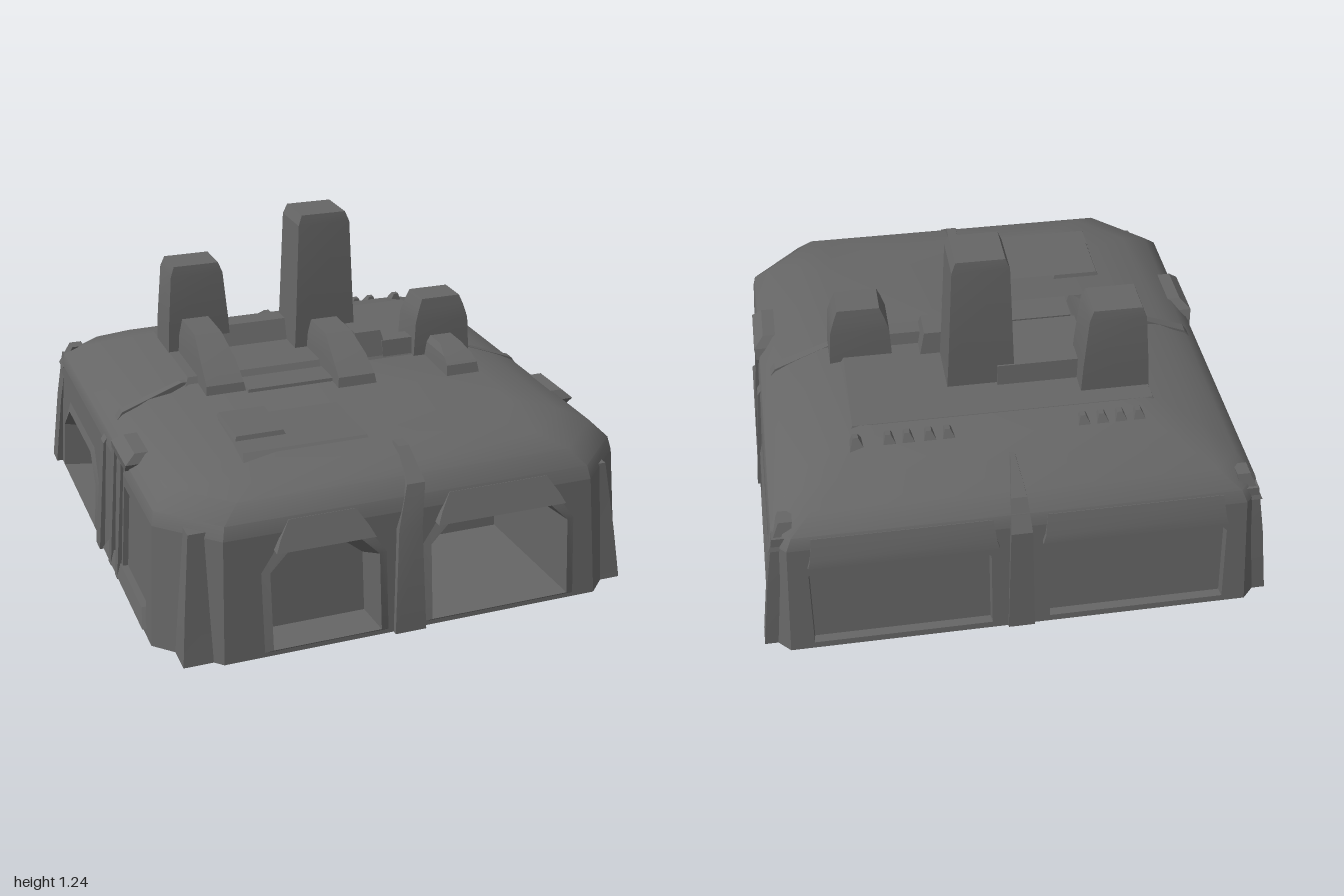
import * as THREE from 'three';
import { toCreasedNormals } from 'three/addons/utils/BufferGeometryUtils.js';

const concrete = new THREE.MeshStandardMaterial({ color: 0x666666 });
concrete.name = 'dark concrete';

export function createModel() {
  const model = new THREE.Group();
  model.name = 'bunker';

  function add(name, positions, crease = 0.6) {
    let g = new THREE.BufferGeometry();
    g.setAttribute('position', new THREE.Float32BufferAttribute(positions, 3));
    g = toCreasedNormals(g, crease);
    const mesh = new THREE.Mesh(g, concrete);
    mesh.name = name;
    model.add(mesh);
  }

  // Skin a stack of counter-clockwise rings, with optional caps
  function loft(rings, capEnd = true, capStart = false) {
    const out = [];
    const tri = (a, b, c) => out.push(...a, ...b, ...c);
    const n = rings[0].length;
    for (let k = 0; k + 1 < rings.length; k++) {
      for (let i = 0; i < n; i++) {
        const j = (i + 1) % n;
        const [a, b, c, d] = [rings[k][i], rings[k][j], rings[k + 1][j], rings[k + 1][i]];
        tri(a, b, c);
        tri(a, c, d);
      }
    }
    const last = rings[rings.length - 1];
    for (let i = 1; i + 1 < n; i++) {
      if (capEnd) tri(last[0], last[i], last[i + 1]);
      if (capStart) tri(rings[0][0], rings[0][i + 1], rings[0][i]);
    }
    return out;
  }

  const rect = (y, [x0, x1, z0, z1]) => [[x1, y, z1], [x1, y, z0], [x0, y, z0], [x0, y, z1]];
  // Tapered block through [y, [x0, x1, z0, z1]] levels
  const block = (name, ...levels) => add(name, loft(levels.map(l => rect(...l)), true, true), 0.3);

  // Eight-cornered plan with wide front chamfers and small back chamfers
  const plan = (yf, yb, x, zf, zb, cf, cb) => [
    [x, yf, zf - cf], [x, yb, zb + cb], [x - cb, yb, zb], [-x + cb, yb, zb],
    [-x, yb, zb + cb], [-x, yf, zf - cf], [-x + cf, yf, zf], [x - cf, yf, zf]];

  const wallTop = 0.46;
  const base = plan(0, 0, 0.94, 0.98, -0.99, 0.21, 0.07);
  const eaves = plan(wallTop, wallTop, 0.91, 0.935, -0.94, 0.2, 0.06);

  // Rounded roof
  add('roof', loft([
    eaves,
    plan(0.51, 0.51, 0.9, 0.92, -0.925, 0.2, 0.07),
    plan(0.57, 0.57, 0.84, 0.875, -0.86, 0.2, 0.09),
    plan(0.615, 0.625, 0.73, 0.8, -0.75, 0.18, 0.1),
    plan(0.64, 0.685, 0.57, 0.68, -0.6, 0.15, 0.08),
  ]), 0.7);

  // Floor slab underside and chamfered corner walls
  add('floor', loft([base], false, true));
  for (const i of [1, 3, 5, 7]) {
    const j = (i + 1) % 8;
    add('cornerWall', [base[i], base[j], eaves[j], base[i], eaves[j], eaves[i]].flat());
  }

  // Facades: edge index, along-direction, normal, openings.
  // The back wall of an opening shrinks by [width, height]; trim is how far its rim stands out.
  const opening = (u0, u1, top, cut, depth, shrink, trim) => ({ u0, u1, top, cut, depth, shrink, trim });
  const flush = [0.99, 0.98];
  const facades = [
    { name: 'front', edge: 6, d: [1, 0], n: [0, 1],
      holes: [opening(-0.55, -0.14, 0.39, 0.07, 0.15, [0.97, 0.78], 0.01),
        opening(0.06, 0.61, 0.39, 0.07, 0.58, [0.95, 0.8], 0.01)] },
    { name: 'leftSide', edge: 0, d: [0, -1], n: [1, 0],
      holes: [opening(0.13, 0.76, 0.32, 0.1, 0.16, [0.86, 0.88], 0.01),
        opening(-0.68, -0.32, 0.42, 0.005, 0.02, flush, 0)] },
    { name: 'rightSide', edge: 4, d: [0, 1], n: [-1, 0],
      holes: [opening(-0.76, -0.13, 0.32, 0.1, 0.16, [0.86, 0.88], 0.01),
        opening(0.32, 0.68, 0.42, 0.005, 0.02, flush, 0)] },
    { name: 'back', edge: 2, d: [-1, 0], n: [0, -1],
      holes: [opening(-0.78, -0.11, 0.37, 0.03, 0.035, flush, 0),
        opening(0.11, 0.78, 0.37, 0.03, 0.035, flush, 0)] },
  ];
  for (const { name, edge, d, n, holes } of facades) {
    const along = p => p[0] * d[0] + p[2] * d[1];
    const out = p => p[0] * n[0] + p[2] * n[1];
    const [b0, b1, t1, t0] = [base[edge], base[edge + 1], eaves[edge + 1], eaves[edge]];
    const place = (u, v, depth) => {
      const o = THREE.MathUtils.lerp(out(b0), out(t0), v / wallTop) - depth;
      return [d[0] * u + n[0] * o, v, d[1] * u + n[1] * o];
    };
    const outline = (h, grow) => {
      const { u0, u1, top, cut } = h, y0 = 0.025 - grow * 0.3;
      return [[u0 - grow, y0], [u1 + grow, y0], [u1 + grow, top - cut],
        [u1 + grow - cut, top + grow], [u0 - grow + cut, top + grow], [u0 - grow, top - cut]];
    };
    const shape = new THREE.Shape([b0, b1, t1, t0].map(p => new THREE.Vector2(along(p), p[1])));
    for (const h of holes) {
      shape.holes.push(new THREE.Path(outline(h, 0.03).map(p => new THREE.Vector2(...p))));
      // Rim, then the recess narrowing to its back wall
      const c = (h.u0 + h.u1) / 2;
      const inner = outline(h, 0).map(([u, v]) =>
        place(c + (u - c) * h.shrink[0], v * h.shrink[1], h.depth));
      add(name + 'Recess', loft([
        outline(h, 0.03).map(p => place(...p, 0)),
        outline(h, 0).map(p => place(...p, -h.trim)),
        inner]), 0.3);
    }
    const flat = new THREE.ShapeGeometry(shape).toNonIndexed().attributes.position;
    const pts = [];
    for (let i = 0; i < flat.count; i++) pts.push(...place(flat.getX(i), flat.getY(i), 0));
    add(name + 'Wall', pts);
  }

  // Centre pillars front and back, with a rib running up over the eaves
  block('frontPillar', [0, [-0.09, 0.03, 0.9, 1.0]], [0.4, [-0.07, 0.02, 0.88, 0.965]], [0.55, [-0.02, 0.05, 0.82, 0.91]], [0.64, [0, 0.04, 0.72, 0.78]]);
  block('backPillar', [0, [-0.05, 0.05, -1, -0.9]], [0.45, [-0.04, 0.04, -0.965, -0.88]], [0.56, [-0.03, 0.03, -0.89, -0.8]], [0.635, [-0.01, 0.01, -0.76, -0.7]]);

  // Overhanging hoods above the front and back openings
  for (const [a, b] of [[-0.55, -0.14], [0.06, 0.61]])
    block('frontHood', [0.4, [a + 0.02, b - 0.02, 0.9, 0.975]], [0.44, [a + 0.04, b - 0.04, 0.88, 0.955]], [0.5, [a + 0.08, b - 0.08, 0.86, 0.925]]);
  for (const [a, b] of [[-0.78, -0.08], [0.08, 0.78]])
    block('backHood', [0.385, [a, b, -0.965, -0.9]], [0.42, [a + 0.01, b - 0.01, -0.96, -0.88]], [0.5, [a + 0.02, b - 0.02, -0.93, -0.84]]);

  for (const s of [1, -1]) {
    const side = (a, b, z0, z1) => [Math.min(s * a, s * b), Math.max(s * a, s * b), z0, z1];
    // Side pipes with a bracket cap and a low ledge
    for (const z of [0.17, 0.28])
      block('sidePipe', [0.02, side(0.88, 0.955, z - 0.02, z + 0.02)], [0.52, side(0.85, 0.915, z - 0.02, z + 0.02)]);
    block('pipeBracket', [0.5, side(0.8, 0.915, 0.14, 0.36)], [0.54, side(0.76, 0.92, 0.16, 0.4)], [0.575, side(0.78, 0.88, 0.2, 0.38)]);
    block('sideLedge', [0.03, side(0.9, 0.955, 0.05, 0.7)], [0.085, side(0.9, 0.94, 0.1, 0.64)]);
    // Seam rib across the roof shoulder
    block('sideRib', [0, side(0.9, 0.96, -0.06, 0.01)], [0.46, side(0.86, 0.92, -0.04, 0.01)],
      [0.58, side(0.76, 0.84, -0.035, 0.01)], [0.67, side(0.56, 0.6, -0.02, 0.01)]);
    // Corner buttresses
    block('backButtress', [0, side(0.86, 0.965, -0.945, -0.86)], [0.3, side(0.84, 0.93, -0.93, -0.85)], [0.5, side(0.84, 0.9, -0.91, -0.82)]);
    block('shoulderBlock', [0.45, side(0.84, 0.915, -0.92, -0.84)], [0.55, side(0.82, 0.87, -0.88, -0.82)]);
  }
  block('frontButtress', [0, [-0.87, -0.74, 0.8, 0.95]], [0.2, [-0.85, -0.74, 0.78, 0.92]], [0.48, [-0.82, -0.74, 0.76, 0.88]]);
  block('frontButtress', [0, [0.78, 0.88, 0.78, 0.91]], [0.2, [0.76, 0.86, 0.76, 0.88]], [0.47, [0.74, 0.82, 0.76, 0.85]]);

  // Chimneys: top rectangle, height, and a sloping duct in front
  const chimneys = [
    { t: [-0.54, -0.34, -0.46, -0.3], y: 1.04, duct: [-0.53, -0.38, 0.15], dy: 0.82 },
    { t: [-0.04, 0.16, -0.36, -0.17], y: 1.24, duct: [-0.02, 0.13, 0.24], dy: 0.8 },
    { t: [0.41, 0.59, -0.12, 0.02], y: 0.895, duct: [0.43, 0.56, 0.27], dy: 0.74 },
  ];
  for (const { t: [x0, x1, z0, z1], y, duct: [a, b, end], dy } of chimneys) {
    const grow = g => [x0 - g, x1 + g, z0 - g * 0.5, z1 + g * 0.5];
    block('chimney', [0.62, grow(0.035)], [0.8, grow(0.025)], [y - 0.04, grow(0.008)], [y, grow(-0.008)]);
    const back = z1 - 0.04, len = end - z1;
    block('chimneyDuct', [0.62, [a - 0.01, b + 0.01, back, end]],
      [0.69, [a, b, back, end - 0.02]],
      [(0.69 + dy) / 2, [a + 0.005, b - 0.005, back, end - len * 0.25]],
      [dy, [a + 0.02, b - 0.02, back, end - len * 0.55]]);
  }

  // Walls linking the chimneys and a low plinth around them
  block('linkWall', [0.64, [-0.34, 0, -0.4, -0.24]], [0.765, [-0.34, 0, -0.38, -0.3]]);
  block('linkWall', [0.64, [0.14, 0.28, -0.17, 0.02]], [0.77, [0.14, 0.25, -0.14, -0.02]]);
  block('linkWall', [0.64, [0.25, 0.42, -0.1, 0.02]], [0.73, [0.25, 0.42, -0.07, 0]]);
  block('plinth', [0.63, [-0.6, 0.6, -0.58, 0.04]], [0.685, [-0.57, 0.57, -0.55, 0]]);

  // Thin roof plates and hatch
  block('roofPlate', [0.63, [-0.38, 0, 0.03, 0.17]], [0.668, [-0.37, -0.01, 0.03, 0.16]]);
  block('roofPanel', [0.62, [-0.56, -0.07, 0.19, 0.7]], [0.648, [-0.55, -0.075, 0.2, 0.66]]);
  block('roofHatch', [0.64, [-0.55, -0.35, 0.31, 0.56]], [0.664, [-0.54, -0.36, 0.32, 0.55]]);

  // Broken teeth along the back edge of the roof
  for (const x of [-0.5, -0.43, -0.36, -0.29, 0.22, 0.29, 0.37, 0.44, 0.56])
    block('roofTooth', [0.65, [x - 0.03, x + 0.03, -0.66, -0.6]], [0.695, [x - 0.005, x + 0.015, -0.63, -0.605]]);

  return model;
}
